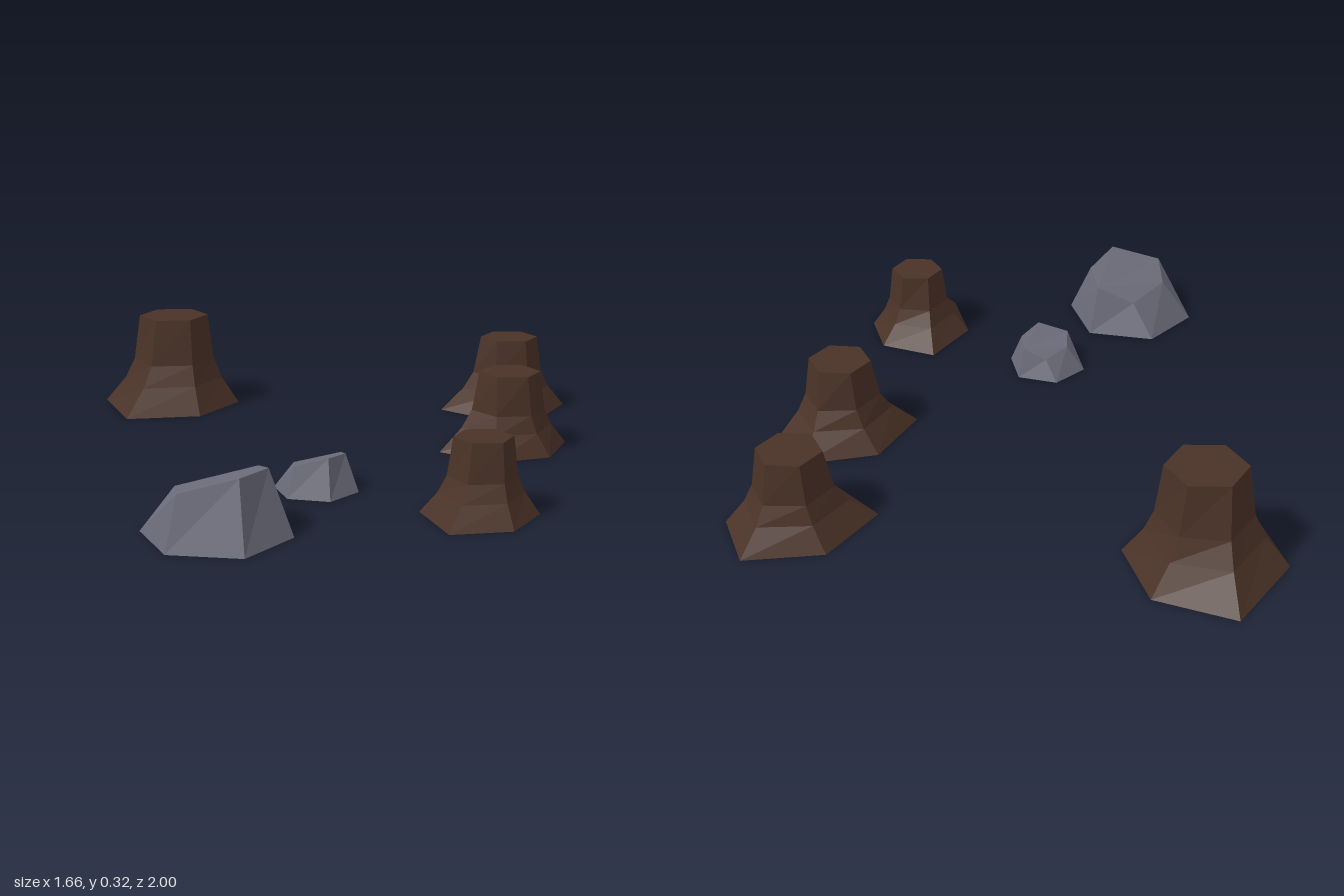
import * as THREE from 'three';

const bark = new THREE.MeshStandardMaterial({ color: 0x4a3227 });
bark.name = 'barkBrown';
const stone = new THREE.MeshStandardMaterial({ color: 0x6c6c7a });
stone.name = 'stoneGrey';
const soil = new THREE.MeshStandardMaterial({ color: 0x200a09 });
soil.name = 'darkUnderside';

// Joins rings of corners from bottom to top into a faceted solid; group 1 is the underside
function facetedSolid(rings) {
  const pos = [];
  const tri = (...corners) => corners.forEach((c) => pos.push(...c));
  const n = rings[0].length;
  for (let k = 0; k < rings.length - 1; k++) {
    for (let i = 0; i < n; i++) {
      const j = (i + 1) % n, lo = rings[k], hi = rings[k + 1];
      tri(lo[i], lo[j], hi[j]);
      tri(lo[i], hi[j], hi[i]);
    }
  }
  // Top is fanned from corner 1
  const top = rings[rings.length - 1], base = rings[0];
  for (let i = 1; i < n - 1; i++) tri(top[1], top[(i + 1) % n], top[(i + 2) % n]);
  const split = pos.length / 3;
  for (let i = 1; i < n - 1; i++) tri(base[0], base[i + 1], base[i]);

  const geo = new THREE.BufferGeometry();
  geo.setAttribute('position', new THREE.Float32BufferAttribute(pos, 3));
  geo.addGroup(0, split, 0);
  geo.addGroup(split, pos.length / 3 - split, 1);
  geo.computeVertexNormals();
  return geo;
}

// Stumps: regular hexagonal top flaring to uneven root corners (x, z)
const STUMPS = [
  { name: 'largeStump', x: -0.58, z: -0.715, r: 0.122, h: 0.32, turn: 0.04,
    roots: [[-0.35, -0.69], [-0.435, -0.92], [-0.68, -1.0], [-0.835, -0.74], [-0.735, -0.455], [-0.48, -0.487]] },
  { name: 'backStump', x: 0.625, z: -0.61, r: 0.1, h: 0.255, turn: -0.03,
    roots: [[0.83, -0.624], [0.747, -0.815], [0.504, -0.77], [0.38, -0.556], [0.536, -0.418], [0.731, -0.45]] },
  { name: 'middleStump', x: 0.56, z: -0.075, r: 0.1, h: 0.255, turn: -0.03,
    roots: [[0.757, -0.122], [0.652, -0.3], [0.425, -0.233], [0.327, -0.01], [0.499, 0.115], [0.678, 0.063]] },
  { name: 'frontStump', x: 0.395, z: 0.628, r: 0.088, h: 0.232, turn: 0.04,
    roots: [[0.562, 0.64], [0.504, 0.476], [0.32, 0.418], [0.214, 0.608], [0.282, 0.818], [0.467, 0.794]] },
];
// Height fraction and flare fraction of each ring
const FLARE = [[0, 1], [0.28, 0.44], [0.5, 0.18], [1, 0]];

function makeStump({ name, x, z, r, h, turn, roots }) {
  const rings = FLARE.map(([up, out]) => roots.map(([rx, rz], i) => {
    const a = turn + (i * Math.PI) / 3;
    const tx = x + r * Math.cos(a), tz = z - r * Math.sin(a);
    return [tx + (rx - tx) * out, h * up, tz + (rz - tz) * out];
  }));
  const mesh = new THREE.Mesh(facetedSolid(rings), [bark, soil]);
  mesh.name = name;
  return mesh;
}

// Rock: wide hexagonal foot and a tilted, uneven crown
const ROCK_RINGS = [
  [[0.217, 0, 0.037], [0.142, 0, -0.174], [-0.08, 0, -0.206], [-0.217, 0, -0.031], [-0.132, 0, 0.17], [0.084, 0, 0.208]],
  [[0.147, 0.185, -0.02], [0.117, 0.16, -0.13], [-0.01, 0.11, -0.145], [-0.115, 0.135, -0.02], [-0.1, 0.157, 0.128], [0.07, 0.2, 0.13]],
];

function makeRock(name, x, z, scale, turn) {
  const mesh = new THREE.Mesh(facetedSolid(ROCK_RINGS), [stone, soil]);
  mesh.name = name;
  mesh.position.set(x, 0, z);
  mesh.scale.setScalar(scale);
  mesh.rotation.y = turn;
  return mesh;
}

export function createModel() {
  const group = new THREE.Group();
  group.name = 'stumpsAndRocks';
  STUMPS.forEach((s) => group.add(makeStump(s)));
  group.add(makeRock('largeRock', -0.366, 0.79, 1, 0));
  group.add(makeRock('smallRock', -0.082, 0.382, 0.6, -0.08));
  return group;
}
